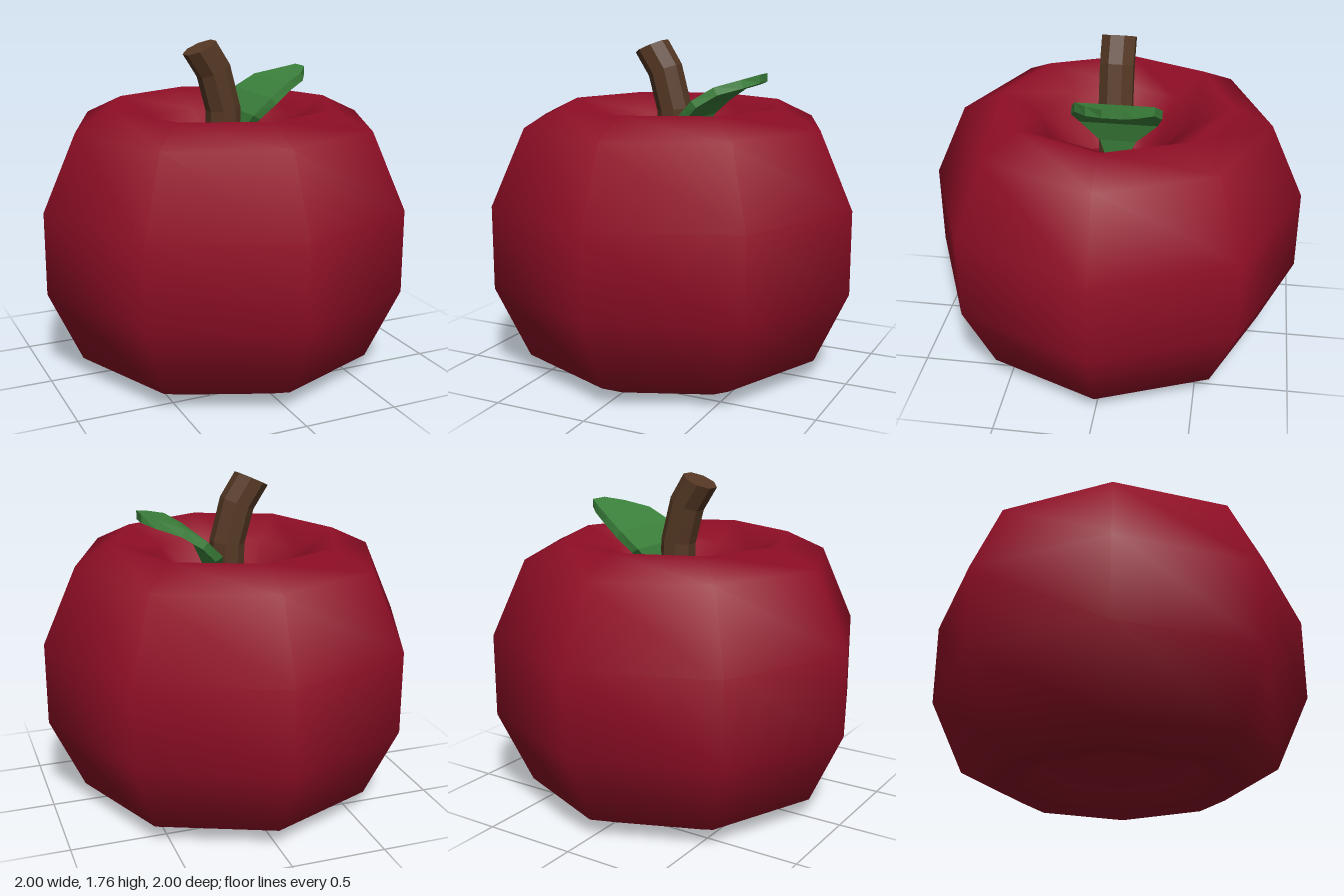
import * as THREE from 'three';

const red = new THREE.MeshStandardMaterial({ name: 'apple red', color: 0x900e26 });
const brown = new THREE.MeshStandardMaterial({ name: 'stem brown', color: 0x553824 });
const green = new THREE.MeshStandardMaterial({ name: 'leaf green', color: 0x3c823c });

function add(group, name, geometry, material) {
  const mesh = new THREE.Mesh(geometry, material);
  mesh.name = name;
  group.add(mesh);
  return mesh;
}

// Joins rings of equal point count into a closed, faceted solid.
function loft(rings) {
  const pos = [];
  const tri = (...pts) => pts.forEach((p) => pos.push(p.x, p.y, p.z));
  const n = rings[0].length;
  for (let i = 0; i < rings.length - 1; i++) {
    for (let j = 0; j < n; j++) {
      const k = (j + 1) % n;
      const [a, b, c, d] = [rings[i][j], rings[i][k], rings[i + 1][k], rings[i + 1][j]];
      tri(a, b, c);
      tri(a, c, d);
    }
  }
  const first = rings[0], last = rings[rings.length - 1];
  for (let j = 1; j < n - 1; j++) {
    tri(first[0], first[j + 1], first[j]);
    tri(last[0], last[j], last[j + 1]);
  }
  const geometry = new THREE.BufferGeometry();
  geometry.setAttribute('position', new THREE.Float32BufferAttribute(pos, 3));
  geometry.computeVertexNormals();
  return geometry;
}

// Bent eight-sided stem: each ring is [x, y, tilt].
function stemGeometry() {
  const radius = 0.094;
  const rings = [[0.01, 1.0, 0], [0, 1.4, 0.1], [-0.055, 1.605, 0.38], [-0.135, 1.73, 0.41]];
  return loft(rings.map(([x, y, tilt]) => Array.from({ length: 8 }, (_, j) => {
    const a = (j + 0.5) * Math.PI / 4;
    const u = radius * Math.cos(a);
    return new THREE.Vector3(x + u * Math.cos(tilt), y + u * Math.sin(tilt), -radius * Math.sin(a));
  })));
}

// Curved thick leaf: each section is [x, y, back z, front z] of its upper face.
function leafGeometry() {
  const thickness = 0.045;
  const s = [
    [0.04, 1.1, -0.05, 0.03],
    [0.06, 1.25, -0.12, 0.07],
    [0.1, 1.38, -0.235, 0.17],
    [0.19, 1.47, -0.264, 0.2],
    [0.3, 1.54, -0.235, 0.165],
    [0.42, 1.577, -0.155, 0.09],
    [0.49, 1.6, -0.105, 0],
  ];
  return loft(s.map(([x, y, z0, z1], i) => {
    const p = s[Math.max(i - 1, 0)], q = s[Math.min(i + 1, s.length - 1)];
    const dx = q[0] - p[0], dy = q[1] - p[1], len = Math.hypot(dx, dy);
    const end = i === s.length - 1;
    const bx = end ? x : x + thickness * dy / len;
    const by = y - thickness * (end ? 1 : dx / len);
    return [
      new THREE.Vector3(x, y, z0),
      new THREE.Vector3(bx, by, z0),
      new THREE.Vector3(bx, by, z1),
      new THREE.Vector3(x, y, z1),
    ].reverse();
  }));
}

export function createModel() {
  const group = new THREE.Group();
  group.name = 'apple';

  // Smooth eight-sided body with a hollow at each end
  const profile = [
    [0, 0.36], [0.2, 0.36], [0.41, 0.1], [0.61, 0], [0.82, 0.1], [1, 0.49],
    [1, 0.93], [0.82, 1.33], [0.61, 1.43], [0.41, 1.33], [0.2, 1.06],
  ].map(([r, y]) => new THREE.Vector2(r, y));
  add(group, 'body', new THREE.LatheGeometry(profile, 8), red);

  // Flat floor of the upper hollow
  const floor = add(group, 'hollowFloor', new THREE.CircleGeometry(0.2, 8), red);
  floor.rotation.x = -Math.PI / 2;
  floor.position.y = 1.06;

  add(group, 'stem', stemGeometry(), brown);
  add(group, 'leaf', leafGeometry(), green);
  return group;
}
